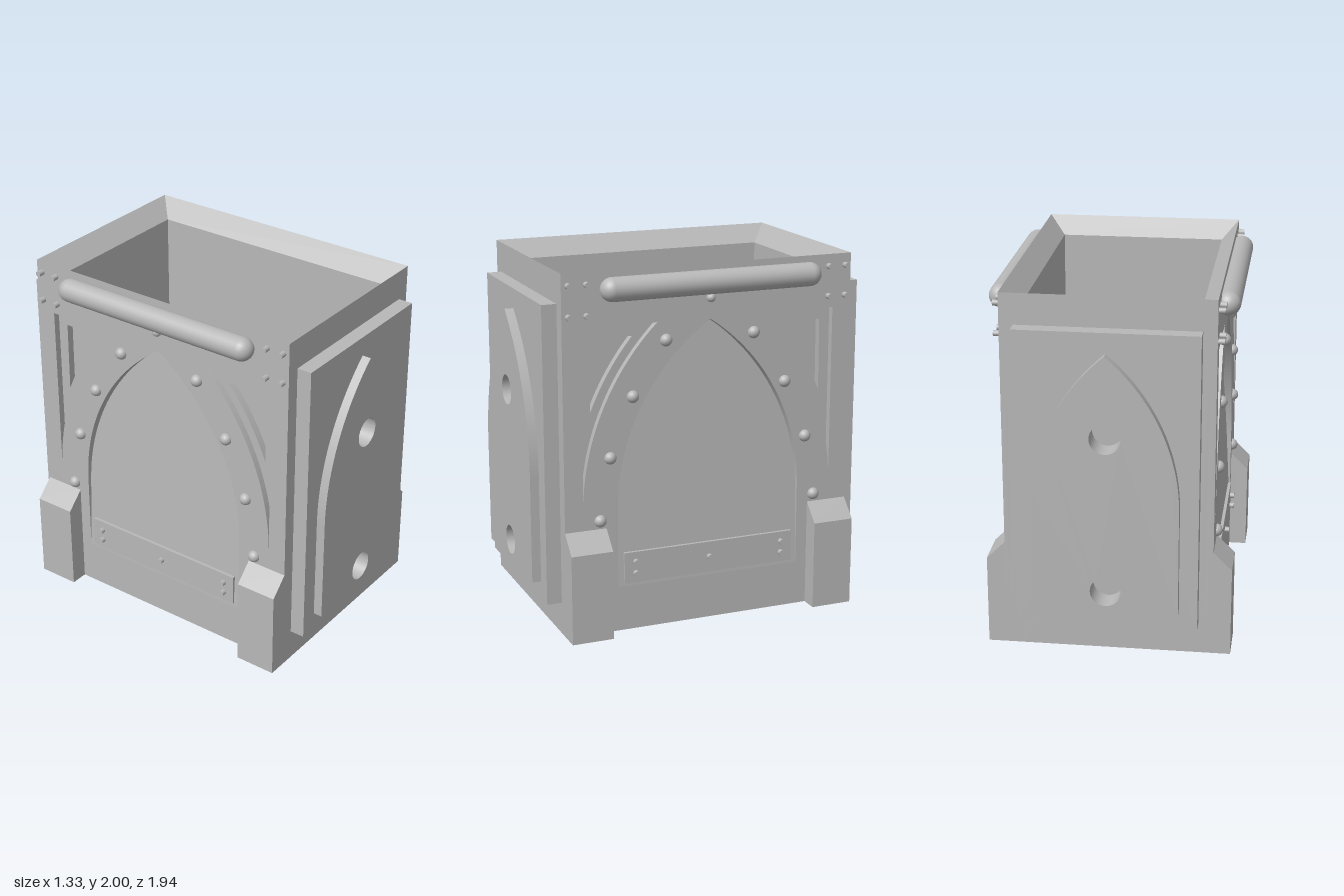
import * as THREE from 'three';

const stone = new THREE.MeshStandardMaterial({ color: 0xb8b8b8 });
stone.name = 'plain grey';

const X = 0.565, Z = 0.835;      // outer half width and half length
const XI = 0.47, ZI = 0.74;      // inner half width and half length
const RIM = 1.9, TOP = 2;        // rim bevel from inner to outer edge

function add(parent, name, geometry, x = 0, y = 0, z = 0) {
  const mesh = new THREE.Mesh(geometry, stone);
  mesh.name = name;
  mesh.position.set(x, y, z);
  parent.add(mesh);
  return mesh;
}

const rect = (w, y0, y1) => new THREE.Shape([[-w, y0], [w, y0], [w, y1], [-w, y1]].map(p => new THREE.Vector2(...p)));

// Pointed arch: straight jambs up to ys, then two arcs meeting at the apex
function arch(w, y0, ys, R) {
  const a = Math.acos((R - w) / R);
  const s = new THREE.Shape();
  s.moveTo(-w, y0);
  s.lineTo(w, y0);
  s.lineTo(w, ys);
  s.absarc(w - R, ys, R, 0, a, false);
  s.absarc(R - w, ys, R, Math.PI - a, Math.PI, false);
  return s;
}

// Three-cornered spandrel whose curved edge is concentric with the side arch
function spandrel(side, cornerX, topY, R, endAngle) {
  const start = Math.asin((topY - 0.7) / R);
  const pts = [new THREE.Vector2(side * cornerX, topY)];
  for (let i = 0; i <= 24; i++) {
    const a = start + (endAngle - start) * i / 24;
    pts.push(new THREE.Vector2(side * (-0.667 + R * Math.cos(a)), 0.7 + R * Math.sin(a)));
  }
  return new THREE.Shape(pts);
}

function slab(shape, holes, z0, z1) {
  shape.holes.push(...holes);
  const g = new THREE.ExtrudeGeometry(shape, { depth: z1 - z0, bevelEnabled: false, curveSegments: 24 });
  return g.translate(0, 0, z0);
}

// Long side, built facing +z
function makeSide(name) {
  const g = new THREE.Group();
  g.name = name;
  const sideArch = () => arch(0.535, 0.25, 0.7, 1.2);
  const outer = [1, -1].map(s => spandrel(s, 0.73, 1.705, 1.3975, -0.025));
  const inner = [1, -1].map(s => spandrel(s, 0.67, 1.635, 1.443, 0.38));
  add(g, 'wallLining', slab(rect(Z, 0, RIM), [], XI, 0.485));
  add(g, 'wallMiddle', slab(rect(Z, 0, RIM), [sideArch(), ...inner], 0.485, 0.527));
  add(g, 'wallFace', slab(rect(Z, 0, RIM), [sideArch(), ...outer], 0.527, X));

  // Recess floor leaning inwards towards the apex
  const floor = new THREE.ShapeGeometry(sideArch(), 24);
  const p = floor.attributes.position;
  for (let i = 0; i < p.count; i++) p.setZ(i, X - 0.078 * (p.getY(i) - 0.25) / 1.45);
  floor.computeVertexNormals();
  add(g, 'archRecess', floor);

  // Name plate at the foot of the arch
  add(g, 'basePlate', new THREE.BoxGeometry(1, 0.175, 0.03), 0, 0.3575, 0.557);

  // Rail under the rim
  const rail = new THREE.CapsuleGeometry(0.065, 1.135, 8, 24).rotateZ(Math.PI / 2);
  add(g, 'rail', rail, 0, 1.905, 0.6);

  // Rivets
  const dome = new THREE.SphereGeometry(0.034, 16, 12);
  const pin = new THREE.CylinderGeometry(0.016, 0.016, 0.05, 12).rotateX(Math.PI / 2);
  for (const s of [1, -1]) {
    for (const [x, y] of [[0.255, 1.605], [0.445, 1.315], [0.575, 0.99], [0.635, 0.645]])
      add(g, 'archRivet', dome, s * x, y, X);
    for (const x of [0.7, 0.8]) for (const y of [1.77, 1.935])
      add(g, 'cornerPin', pin, s * x, y, 0.575);
    for (const y of [0.325, 0.39]) add(g, 'platePin', pin, s * 0.435, y, 0.572);
  }
  add(g, 'platePin', pin, 0, 0.36, 0.572);
  add(g, 'apexRivet', new THREE.SphereGeometry(0.025, 16, 12), 0, 1.815, 0.573);
  return g;
}

// Short end with stepped panels and corner feet, facing +z
function makeEnd(name) {
  const g = new THREE.Group();
  g.name = name;
  const holes = () => [0.4, 1.27].map(y => new THREE.Path().absarc(0, y, 0.083, 0, Math.PI * 2, true));
  add(g, 'endWall', slab(rect(XI, 0, RIM), [], ZI, Z));
  add(g, 'endPanel', slab(rect(0.49, 0.18, 1.83), holes(), Z, 0.918));
  add(g, 'archPanel', slab(arch(0.39, 0.28, 0.88, 1.1), holes(), 0.918, 0.968));
  for (const s of [1, -1]) {
    const foot = new THREE.Shape([[X, 0], [0.665, 0], [0.665, 0.5], [X, 0.6]].map(([x, y]) => new THREE.Vector2(s * x, y)));
    add(g, 'cornerFoot', slab(foot, [], 0.6, Z));
  }
  return g;
}

// Mitred rim sloping down to the opening
function rimGeometry() {
  const corners = [[1, 1], [1, -1], [-1, -1], [-1, 1]];
  const pos = [];
  const quad = (a, b, c, d) => pos.push(...a, ...b, ...c, ...a, ...c, ...d);
  const at = ([sx, sz], x, y, z) => [sx * x, y, sz * z];
  corners.forEach((a, i) => {
    const b = corners[(i + 1) % 4];
    quad(at(a, X, RIM, Z), at(b, X, RIM, Z), at(b, X, TOP, Z), at(a, X, TOP, Z));
    quad(at(a, X, TOP, Z), at(b, X, TOP, Z), at(b, XI, RIM, ZI), at(a, XI, RIM, ZI));
  });
  const g = new THREE.BufferGeometry();
  g.setAttribute('position', new THREE.Float32BufferAttribute(pos, 3));
  g.computeVertexNormals();
  return g;
}

export function createModel() {
  const model = new THREE.Group();
  model.name = 'archedBox';
  const left = makeSide('leftSide'), right = makeSide('rightSide');
  left.rotation.y = Math.PI / 2;
  right.rotation.y = -Math.PI / 2;
  const front = makeEnd('frontEnd'), back = makeEnd('backEnd');
  back.rotation.y = Math.PI;
  model.add(left, right, front, back);
  add(model, 'rim', rimGeometry());
  return model;
}
